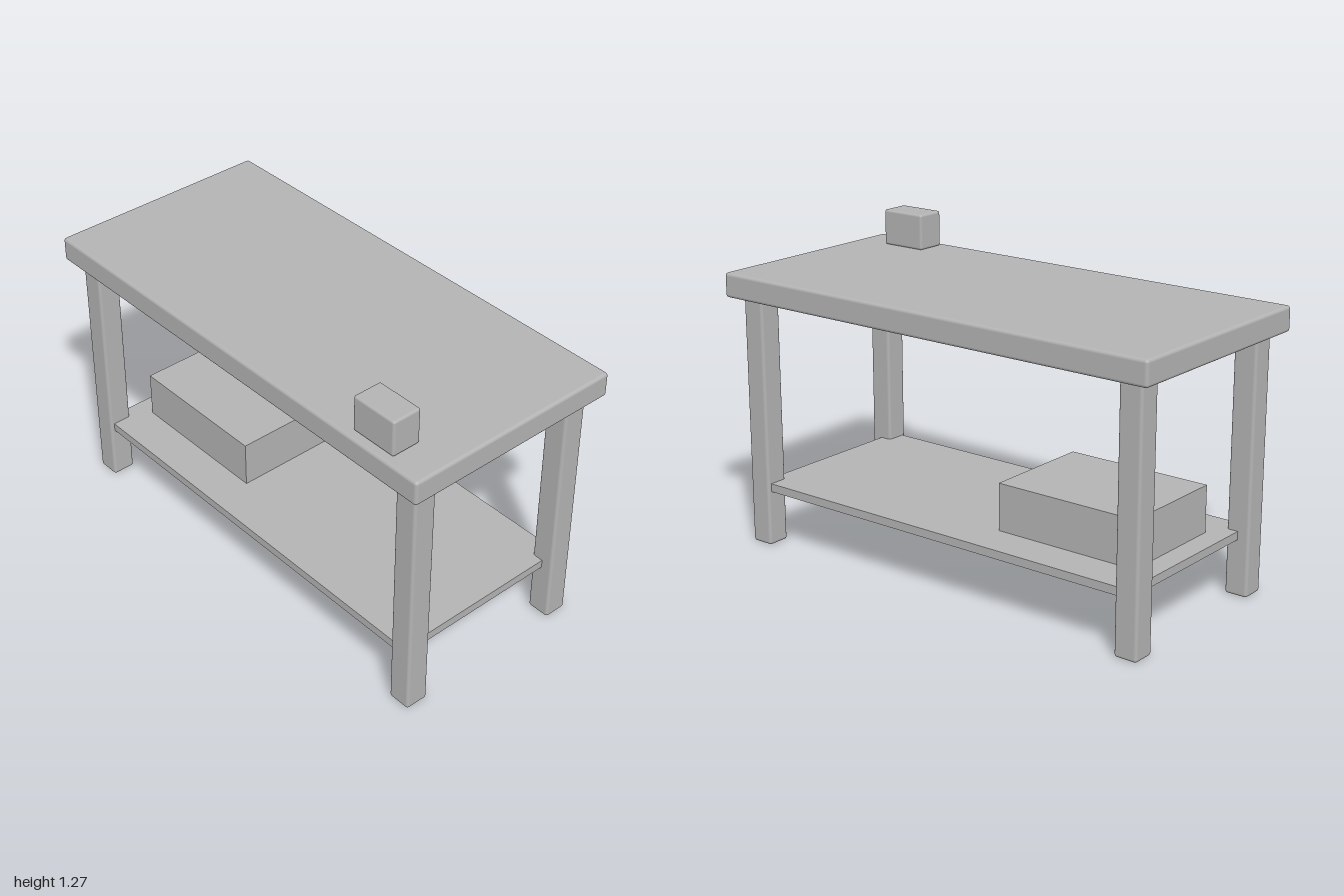
import * as THREE from 'three';
import { RoundedBoxGeometry } from 'three/addons/geometries/RoundedBoxGeometry.js';

export function createModel() {
  const model = new THREE.Group();
  model.name = 'workbench';
  const grey = new THREE.MeshStandardMaterial({ color: 0xb3b3b3 });
  grey.name = 'plain grey';

  // Adds a box resting on y = bottom; a bevel above zero rounds its edges
  function addBox(name, [w, h, d], [x, bottom, z], bevel = 0) {
    const geometry = bevel > 0
      ? new RoundedBoxGeometry(w, h, d, 3, bevel)
      : new THREE.BoxGeometry(w, h, d);
    const mesh = new THREE.Mesh(geometry, grey);
    mesh.name = name;
    mesh.position.set(x, bottom + h / 2, z);
    model.add(mesh);
  }

  // Table top
  addBox('tableTop', [2, 0.1, 0.933], [0, 1.03, 0], 0.013);

  // Four legs, mirrored in x and z
  for (const [side, sx] of [['Left', 1], ['Right', -1]]) {
    for (const [end, sz] of [['front', 1], ['back', -1]]) {
      addBox(`${end}${side}Leg`, [0.097, 1.027, 0.097], [sx * 0.9, 0.003, sz * 0.368], 0.012);
    }
  }

  // Lower shelf, let into the legs
  addBox('shelf', [1.8, 0.034, 0.8], [0, 0.231, 0]);

  // Storage box on the shelf and small block on the top
  addBox('storageBox', [0.62, 0.19, 0.468], [-0.5, 0.265, 0]);
  addBox('smallBlock', [0.2, 0.147, 0.123], [0.75, 1.13, 0.37], 0.01);

  // Stand the legs on the ground
  model.children.forEach((part) => { part.position.y -= 0.003; });
  return model;
}
